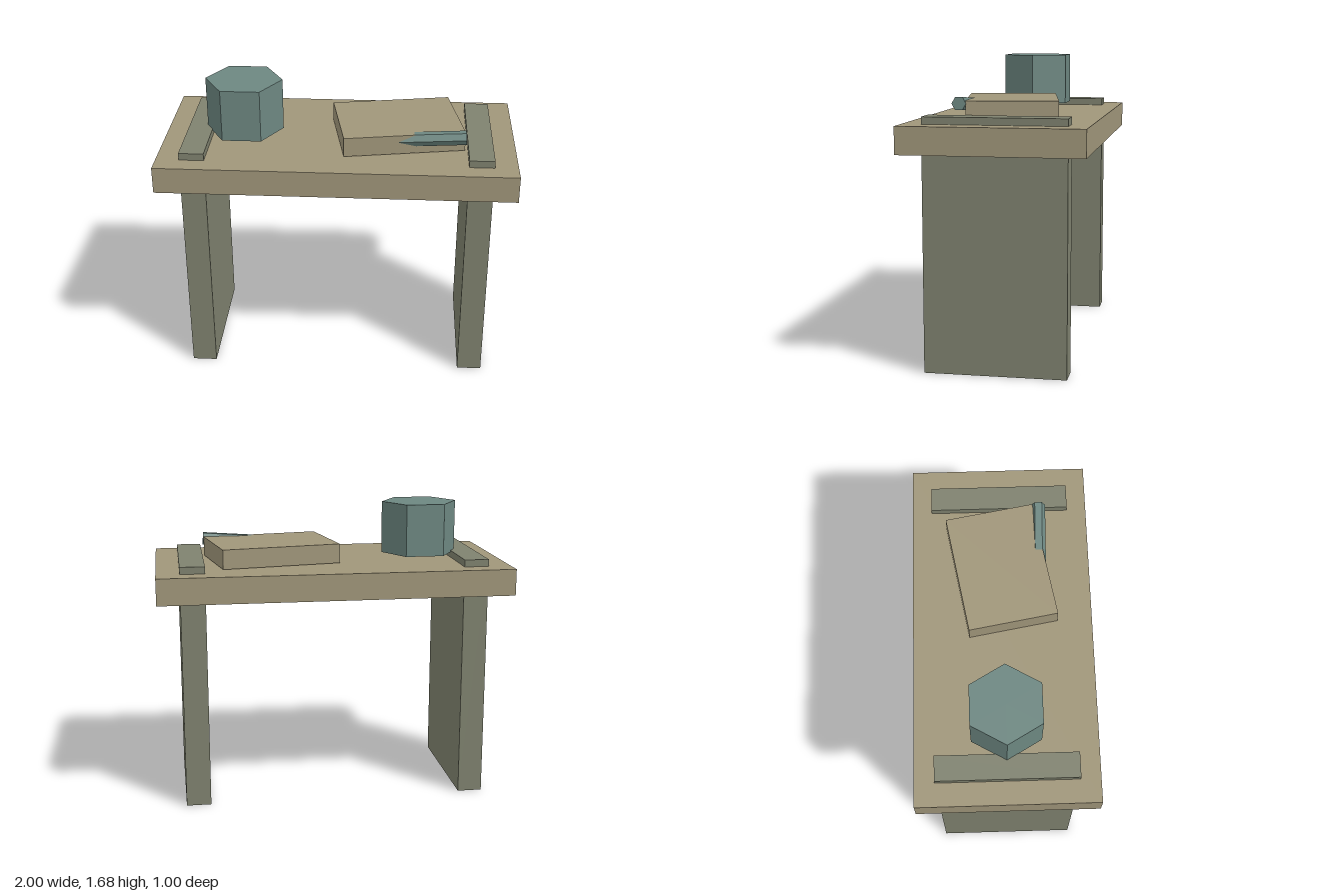
import * as THREE from 'three';

export function createModel() {
  const wood = new THREE.MeshStandardMaterial({ color: 0xa0967a });
  wood.name = 'tan wood';
  const legWood = new THREE.MeshStandardMaterial({ color: 0x7f826f });
  legWood.name = 'grey green wood';
  const teal = new THREE.MeshStandardMaterial({ color: 0x6d8781 });
  teal.name = 'dull teal';

  const model = new THREE.Group();
  model.name = 'desk';

  const add = (name, geometry, material, x, y, z) => {
    const mesh = new THREE.Mesh(geometry, material);
    mesh.name = name;
    mesh.position.set(x, y, z);
    model.add(mesh);
    return mesh;
  };

  // Six-sided prism with crisp faces
  const hexPrism = (radius, height) => {
    const g = new THREE.CylinderGeometry(radius, radius, height, 6).toNonIndexed();
    g.computeVertexNormals();
    return g;
  };

  // Table top, with slab legs whose ends come up through it
  add('tableTop', new THREE.BoxGeometry(2, 0.15, 1), wood, 0, 1.275, 0);
  for (const side of [1, -1]) {
    add(side > 0 ? 'leftLeg' : 'rightLeg',
      new THREE.BoxGeometry(0.14, 1.39, 0.78), legWood, side * 0.8, 0.695, 0);
  }

  // Hexagonal pot, corners pointing along x
  add('pot', hexPrism(0.22, 0.3).rotateY(Math.PI / 2), teal, -0.545, 1.53, 0);

  // Book lying at a slight angle
  const book = add('book', new THREE.BoxGeometry(0.685, 0.11, 0.5), wood, 0.333, 1.41, 0);
  book.rotation.y = THREE.MathUtils.degToRad(10);

  // Pen tucked into the front corner of the book, tilted up to the left
  const pen = add('pen', hexPrism(0.04, 0.5).rotateZ(-Math.PI / 2), teal, 0.468, 1.433, 0.216);
  pen.rotation.set(0, -0.025, 0.068, 'YZX');

  return model;
}
